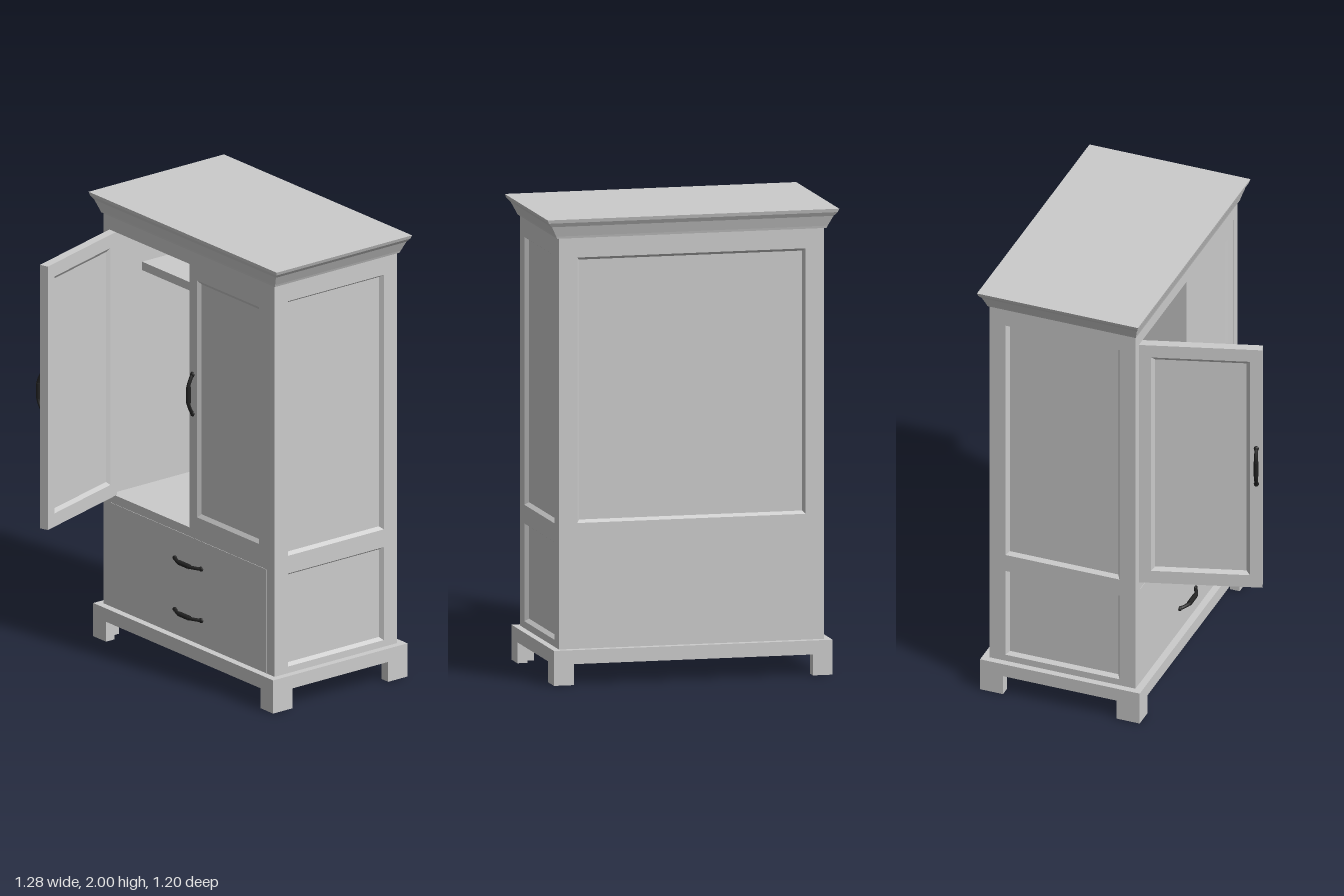
import * as THREE from 'three';

const grey = new THREE.MeshStandardMaterial({ color: 0xcccccc, flatShading: true });
const black = new THREE.MeshStandardMaterial({ color: 0x222222 });
const CZ = -0.233;          // depth centre of the cabinet
const HW = 0.58, HD = 0.333; // half width and half depth of the carcass

function add(parent, name, geometry, material = grey) {
  const mesh = new THREE.Mesh(geometry, material);
  mesh.name = name;
  parent.add(mesh);
  return mesh;
}

// Box given by its limits on each axis
function box(parent, name, x0, x1, y0, y1, z0, z1) {
  const mesh = add(parent, name, new THREE.BoxGeometry(x1 - x0, y1 - y0, z1 - z0));
  mesh.position.set((x0 + x1) / 2, (y0 + y1) / 2, (z0 + z1) / 2);
  return mesh;
}

function rectPath(x0, x1, y0, y1, Type = THREE.Shape) {
  return new Type([[x0, y0], [x1, y0], [x1, y1], [x0, y1]].map(p => new THREE.Vector2(...p)));
}

// Four sloping strips around a sunken rectangle
function bevelRing([x0, x1, y0, y1], b, d) {
  const outer = [[x0, y0, 0], [x1, y0, 0], [x1, y1, 0], [x0, y1, 0]];
  const inner = [[x0 + b, y0 + b, -d], [x1 - b, y0 + b, -d], [x1 - b, y1 - b, -d], [x0 + b, y1 - b, -d]];
  const pts = [];
  for (let i = 0; i < 4; i++) {
    const j = (i + 1) % 4;
    pts.push(...outer[i], ...outer[j], ...inner[j], ...outer[i], ...inner[j], ...inner[i]);
  }
  const g = new THREE.BufferGeometry();
  g.setAttribute('position', new THREE.Float32BufferAttribute(pts, 3));
  g.computeVertexNormals();
  return g;
}

// Framed slab, front at z = 0, with sunken fields on one or both faces
function panelSlab(name, limits, fields, t, b, d, bothFaces = false) {
  const group = new THREE.Group();
  group.name = name;
  const shape = rectPath(...limits);
  fields.forEach(f => shape.holes.push(rectPath(...f, THREE.Path)));
  add(group, name + 'Frame', new THREE.ExtrudeGeometry(shape, { depth: t, bevelEnabled: false }).translate(0, 0, -t));
  for (const f of fields) {
    box(group, name + 'Field', ...f, bothFaces ? d - t : -t, -d);
    add(group, name + 'Moulding', bevelRing(f, b, d));
    if (bothFaces) {
      const [x0, x1, y0, y1] = f;
      const back = add(group, name + 'InnerMoulding', bevelRing([-x1, -x0, y0, y1], b, d));
      back.rotation.y = Math.PI;
      back.position.z = -t;
    }
  }
  return group;
}

// Bowed pull handle lying along x, standing out along +z
function handle(name) {
  const group = new THREE.Group();
  group.name = name;
  const path = new THREE.CatmullRomCurve3(
    [[-0.092, 0], [-0.075, 0.011], [-0.04, 0.025], [0, 0.027], [0.04, 0.025], [0.075, 0.011], [0.092, 0]]
      .map(([x, z]) => new THREE.Vector3(x, 0, z)));
  add(group, 'handleBow', new THREE.TubeGeometry(path, 24, 0.008, 8), black);
  const grip = new THREE.CylinderGeometry(0.011, 0.011, 0.07, 10).rotateZ(Math.PI / 2).translate(0, 0, 0.025);
  add(group, 'handleGrip', grip, black);
  for (const s of [-1, 1]) {
    const foot = add(group, 'handleFoot', new THREE.SphereGeometry(0.011, 10, 8), black);
    foot.scale.set(1.2, 1, 0.7);
    foot.position.set(s * 0.088, 0, 0.004);
  }
  return group;
}

// Door with its hinge edge at x = 0 (s = 1) or opening to the left (s = -1)
function door(name, s) {
  const w = 0.525;
  const limits = s > 0 ? [0, w, 0.66, 1.85] : [-w, 0, 0.66, 1.85];
  const field = s > 0 ? [0.052, w - 0.052, 0.72, 1.79] : [-w + 0.052, -0.052, 0.72, 1.79];
  const group = panelSlab(name, limits, [field], 0.04, 0.016, 0.012, true);
  const pull = handle(name + 'Handle');
  pull.rotation.z = Math.PI / 2;
  pull.position.set(s * (w - 0.025), 1.27, 0);
  group.add(pull);
  return group;
}

export function createModel() {
  const model = new THREE.Group();
  model.name = 'wardrobe';
  const zf = CZ + HD, zb = CZ - HD;

  // Side walls with an upper and a lower sunken field
  for (const s of [-1, 1]) {
    const side = panelSlab('sideWall', [-HD, HD, 0.1, 1.93],
      [[-0.26, 0.26, 0.68, 1.83], [-0.26, 0.26, 0.18, 0.6]], 0.05, 0.012, 0.018);
    side.rotation.y = s * Math.PI / 2;
    side.position.set(s * HW, 0, CZ);
    model.add(side);
  }

  // Back wall
  const back = panelSlab('backWall', [-HW, HW, 0.1, 1.93], [[-0.5, 0.5, 0.69, 1.83]], 0.045, 0.012, 0.018);
  back.rotation.y = Math.PI;
  back.position.z = zb;
  model.add(back);

  // Front frame around the doorway
  const front = rectPath(-HW, HW, 0.1, 1.93);
  front.holes.push(rectPath(-0.53, 0.53, 0.66, 1.85, THREE.Path));
  add(model, 'frontFrame', new THREE.ExtrudeGeometry(front, { depth: 0.04, bevelEnabled: false }))
    .position.z = zf - 0.04;

  // Interior: floor, ceiling, shelf and hanging rail
  box(model, 'underside', -0.57, 0.57, 0.1, 0.14, zb + 0.01, zf - 0.01);
  box(model, 'compartmentFloor', -0.535, 0.535, 0.62, 0.66, zb + 0.03, zf - 0.01);
  box(model, 'ceiling', -0.535, 0.535, 1.85, 1.9, zb + 0.03, zf - 0.01);
  box(model, 'shelf', -0.535, 0.535, 1.63, 1.668, zb + 0.03, -0.07);
  const rail = add(model, 'hangingRail', new THREE.CylinderGeometry(0.011, 0.011, 1.07, 12), black);
  rail.rotation.z = Math.PI / 2;
  rail.position.set(0, 1.575, CZ);

  // Doors: one shut, one swung open
  const shut = door('closedDoor', -1);
  shut.position.set(0.527, 0, zf);
  model.add(shut);
  const open = door('openDoor', 1);
  open.position.set(-0.54, 0, zf);
  open.rotation.y = -THREE.MathUtils.degToRad(72.8);
  model.add(open);

  // Drawer front and its pulls
  box(model, 'drawerFront', -0.53, 0.525, 0.152, 0.62, zf - 0.03, zf + 0.002);
  for (const y of [0.265, 0.497]) {
    const pull = handle('drawerHandle');
    pull.position.set(0, y, zf + 0.002);
    model.add(pull);
  }

  // Plinth: four skirts cut away between the bracket feet
  const skirt = (half, foot) => new THREE.ExtrudeGeometry(new THREE.Shape(
    [[-half, 0], [foot - half, 0], [foot - half, 0.09], [half - foot, 0.09],
      [half - foot, 0], [half, 0], [half, 0.15], [-half, 0.15]].map(p => new THREE.Vector2(...p))),
  { depth: 0.045, bevelEnabled: false }).translate(0, 0, -0.045);
  for (let i = 0; i < 4; i++) {
    const along = i % 2 === 0;
    const mesh = add(model, 'plinthSkirt', along ? skirt(0.61, 0.087) : skirt(0.365, 0.105));
    mesh.rotation.y = i * Math.PI / 2;
    mesh.position.set(along ? 0 : (2 - i) * 0.61, 0, CZ + (along ? (1 - i) * 0.365 : 0));
  }

  // Cornice: stacked flaring slabs, [height, overhang]
  const steps = [[1.915, 0.01], [1.925, 0.014], [1.968, 0.036], [1.985, 0.052], [2, 0.058]];
  for (let i = 0; i < steps.length - 1; i++) {
    const [y0, o0] = steps[i], [y1, o1] = steps[i + 1];
    const g = new THREE.BoxGeometry(2, y1 - y0, 2).translate(0, (y0 + y1) / 2, 0);
    const p = g.attributes.position;
    for (let k = 0; k < p.count; k++) {
      const o = p.getY(k) > (y0 + y1) / 2 ? o1 : o0;
      p.setX(k, p.getX(k) * (HW + o));
      p.setZ(k, p.getZ(k) * (HD + o * 0.6) + CZ);
    }
    g.computeVertexNormals();
    add(model, 'cornice', g);
  }
  return model;
}
